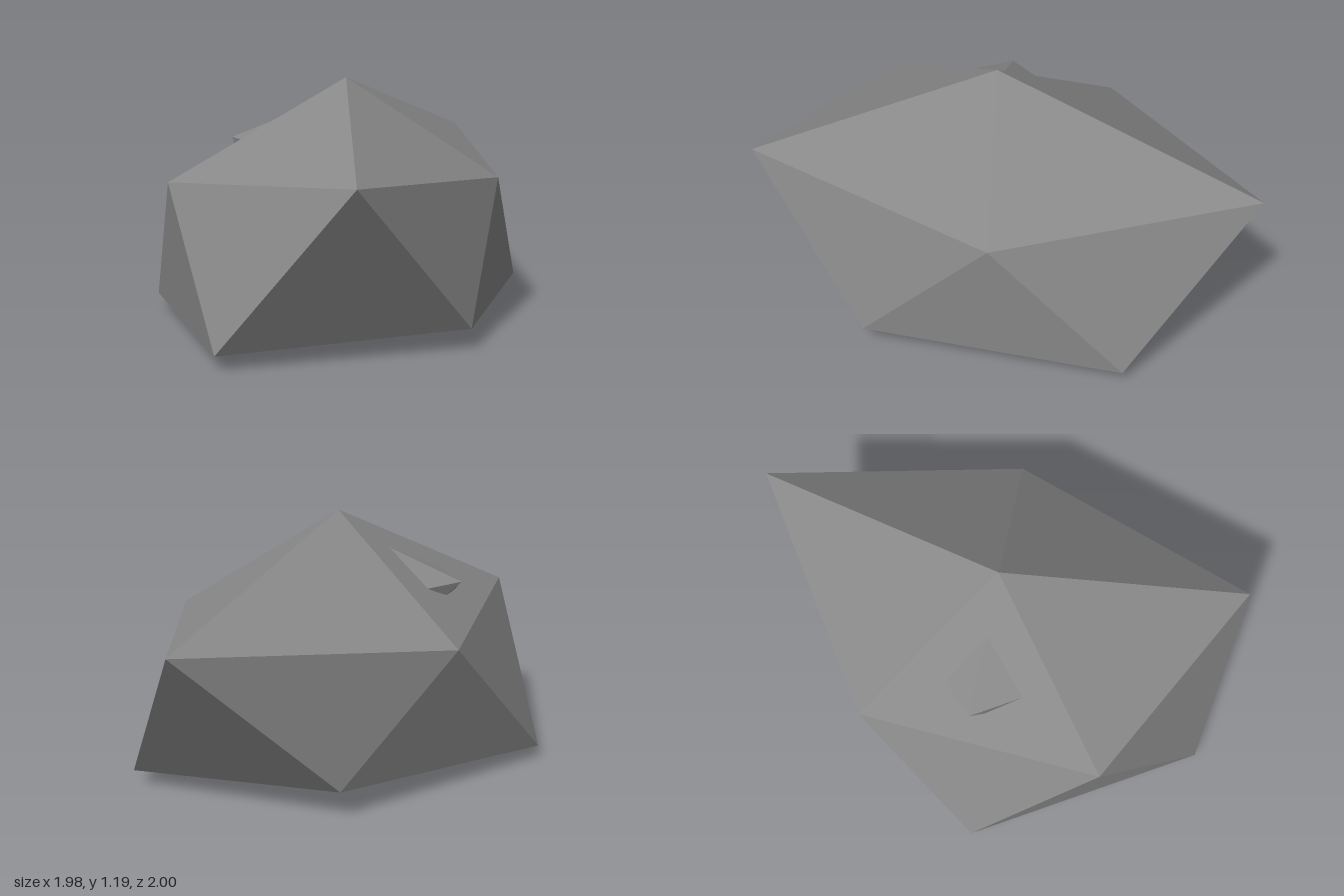
import * as THREE from 'three';

// Flat-shaded faces from triangles of points
function facetedGeometry(triangles) {
  const geometry = new THREE.BufferGeometry();
  geometry.setAttribute('position', new THREE.Float32BufferAttribute(triangles.flat(2), 3));
  geometry.computeVertexNormals();
  return geometry;
}

// Fan of faces from a tip to a ring that runs counterclockwise around it
const fan = (tip, ring) => ring.map((p, i) => [tip, p, ring[(i + 1) % ring.length]]);

// Zigzag band of faces joining an upper ring to a lower ring
const band = (upper, lower) => upper.flatMap((p, i) => {
  const j = (i + 1) % upper.length;
  return [[p, lower[i], upper[j]], [lower[i], lower[j], upper[j]]];
});

export function createModel() {
  const group = new THREE.Group();
  group.name = 'rock';

  const stone = new THREE.MeshStandardMaterial({ color: 0x888888, flatShading: true });
  stone.name = 'stone grey';

  // Boulder: an uneven twenty-sided stone
  const top = [-0.06, 1.19, -0.13];
  const bottom = [-0.06, 0, -0.13];
  const upper = [
    [-0.99, 0.74, 0.03], [-0.42, 0.82, 1.0], [0.61, 0.705, 0.22],
    [0.94, 0.84, -1.0], [-0.34, 0.72, -0.925],
  ];
  const lower = [
    [-0.93, 0.07, 0.62], [0.24, 0.1, 0.71], [0.985, 0.075, -0.31],
    [0.2, 0.14, -0.95], [-0.93, 0.065, -0.595],
  ];
  const boulder = new THREE.Mesh(facetedGeometry([
    ...fan(top, upper),
    ...band(upper, lower),
    ...fan(bottom, [...lower].reverse()),
  ]), stone);
  boulder.name = 'boulder';
  group.add(boulder);

  // Small stone poking out of the back slope, its base sunk in the boulder
  const tip = [-0.56, 0.88, -0.45];
  const base = [
    [-0.56, 0.89, -0.19], [-0.27, 1.022, -0.26], [-0.37, 0.876, -0.5],
    [-0.478, 0.822, -0.463], [-0.556, 0.816, -0.368],
  ];
  const smallStone = new THREE.Mesh(facetedGeometry(fan(tip, base)), stone);
  smallStone.name = 'smallStone';
  group.add(smallStone);

  return group;
}
